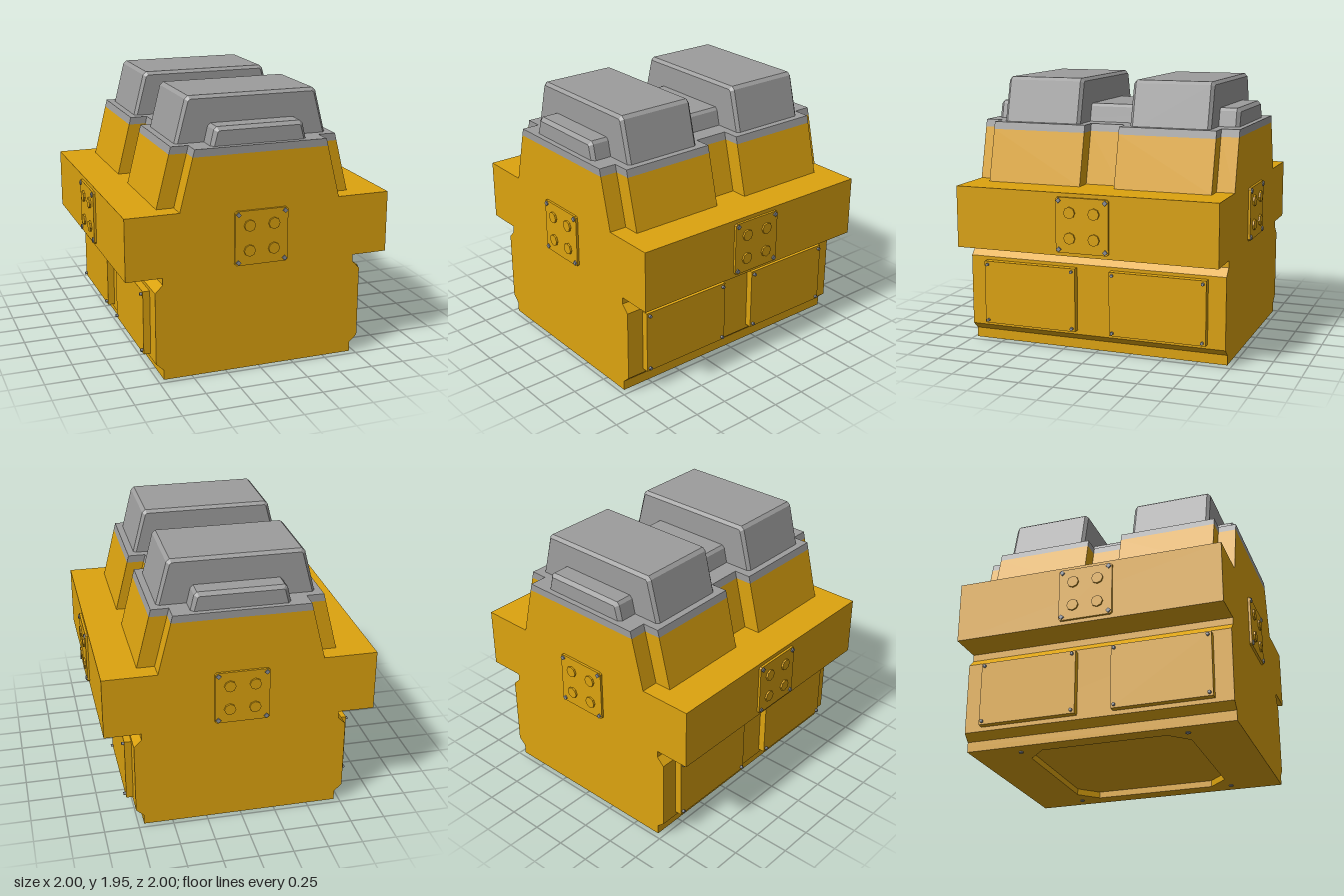
import * as THREE from 'three';

const yellow = new THREE.MeshStandardMaterial({ color: 0xdca30f, name: 'yellow paint' });
const grey = new THREE.MeshStandardMaterial({ color: 0x9d9d9d, name: 'grey metal' });
const steel = new THREE.MeshStandardMaterial({ color: 0x8c9098, name: 'screw steel' });

function add(parent, name, geometry, material) {
  const mesh = new THREE.Mesh(geometry, material);
  mesh.name = name;
  parent.add(mesh);
  return mesh;
}

const shapeOf = (points) => new THREE.Shape(points.map(([x, y]) => new THREE.Vector2(x, y)));

// Closes a right-hand outline (listed bottom to top) with its mirror image.
const mirrored = (half) => shapeOf([...half, ...half.map(([x, y]) => [-x, y]).reverse()]);

// Rectangle with cut corners.
function cutRect(w, h, c) {
  return shapeOf([[w - c, -h], [w, c - h], [w, h - c], [w - c, h],
    [c - w, h], [-w, h - c], [-w, c - h], [c - w, -h]]);
}

// Extrudes a front outline along z, centred on z.
function extrudeZ(shape, length, z = 0, bevel = 0) {
  const g = new THREE.ExtrudeGeometry(shape, {
    depth: length - 2 * bevel, bevelEnabled: bevel > 0, bevelSegments: 1,
    bevelSize: bevel, bevelThickness: bevel, bevelOffset: -bevel,
  });
  return g.translate(0, 0, z - length / 2 + bevel);
}

// Extrudes a plan outline upward from y0 to y1.
function extrudeY(shape, y0, y1) {
  return new THREE.ExtrudeGeometry(shape, { depth: y1 - y0, bevelEnabled: false })
    .rotateX(-Math.PI / 2).translate(0, y0, 0);
}

// Notched tower section whose side walls lean inward.
function towerSection(y0, y1) {
  const W = 0.71, N = 0.585;
  const plan = mirrored([[N, -0.97], [N, -0.84], [W, -0.84], [W, -0.13], [N, -0.13],
    [N, 0.13], [W, 0.13], [W, 0.84], [N, 0.84], [N, 0.97]]);
  const g = extrudeY(plan, y0, y1);
  const p = g.attributes.position;
  for (let i = 0; i < p.count; i++) {
    p.setX(i, p.getX(i) - Math.sign(p.getX(i)) * 0.25 * (p.getY(i) - 1.2));
  }
  g.computeVertexNormals();
  return g;
}

// Cylinder pointing along z, from z0 to z1.
function stud(r, sides, x, y, z0, z1) {
  return new THREE.CylinderGeometry(r, r, z1 - z0, sides).rotateX(Math.PI / 2)
    .translate(x, y, (z0 + z1) / 2);
}

// Connector plate with four ports and corner screws, on the +z side.
function portPlate() {
  const g = new THREE.Group();
  const plate = extrudeZ(cutRect(0.195, 0.195, 0.012), 0.03, 0.972);
  add(g, 'portPlate', plate.translate(0, 0.977, 0), yellow);
  for (const sx of [-1, 1]) for (const sy of [-1, 1]) {
    add(g, 'port', stud(0.042, 8, sx * 0.09, 0.977 + sy * 0.09, 0.97, 1.0).toNonIndexed(), yellow)
      .geometry.computeVertexNormals();
    add(g, 'portScrew', stud(0.019, 4, sx * 0.172, 0.977 + sy * 0.172, 0.97, 0.997), steel);
  }
  return g;
}

// Two screwed access panels, built facing +z.
function accessPanels() {
  const g = new THREE.Group();
  for (const s of [-1, 1]) {
    add(g, 'accessPanel', new THREE.BoxGeometry(0.712, 0.465, 0.07)
      .translate(s * 0.486, 0.393, 0.78), yellow);
    for (const dx of [-0.332, 0.332]) for (const y of [0.183, 0.602]) {
      add(g, 'panelScrew', stud(0.012, 6, s * 0.486 + dx, y, 0.8, 0.832), steel);
    }
  }
  return g;
}

export function createModel() {
  const model = new THREE.Group();
  model.name = 'machineBlock';

  // Base slab with an eight-sided recess underneath
  const base = mirrored([[0.71, -0.97], [0.71, 0.97]]);
  base.holes.push(cutRect(0.585, 0.59, 0.135));
  add(model, 'baseSlab', extrudeY(base, 0.008, 0.055), yellow);
  for (const x of [-0.6, 0.6]) for (const z of [-0.606, 0.606]) {
    add(model, 'baseScrew', new THREE.CylinderGeometry(0.018, 0.018, 0.02, 6)
      .translate(x, 0.01, z), steel);
  }

  // Main body with the overhanging shoulders
  const body = mirrored([[0.71, 0.055], [0.71, 0.08], [0.765, 0.13], [0.765, 0.65],
    [0.71, 0.705], [0.71, 0.755], [0.97, 0.755], [0.97, 1.2]]);
  add(model, 'body', extrudeZ(body, 1.94), yellow);

  // Notched tower and its grey deck
  add(model, 'tower', towerSection(1.2, 1.573), yellow);
  add(model, 'deck', towerSection(1.573, 1.626), grey);

  // Low spine along the deck, and the two large covers
  const spine = mirrored([[0.354, 1.6], [0.322, 1.735], [0.302, 1.755]]);
  add(model, 'spine', extrudeZ(spine, 1.86, 0, 0.025), grey);
  const cover = mirrored([[0.562, 1.6], [0.479, 1.925], [0.455, 1.947]]);
  for (const z of [-0.487, 0.487]) {
    add(model, 'cover', extrudeZ(cover, 0.592, z, 0.022), grey);
  }

  // Port plates on all four sides, access panels on left and right
  for (let i = 0; i < 4; i++) {
    const ports = portPlate();
    ports.name = 'portGroup';
    ports.rotation.y = i * Math.PI / 2;
    model.add(ports);
  }
  for (const s of [-1, 1]) {
    const panels = accessPanels();
    panels.name = 'accessPanelGroup';
    panels.rotation.y = s * Math.PI / 2;
    model.add(panels);
  }
  return model;
}
